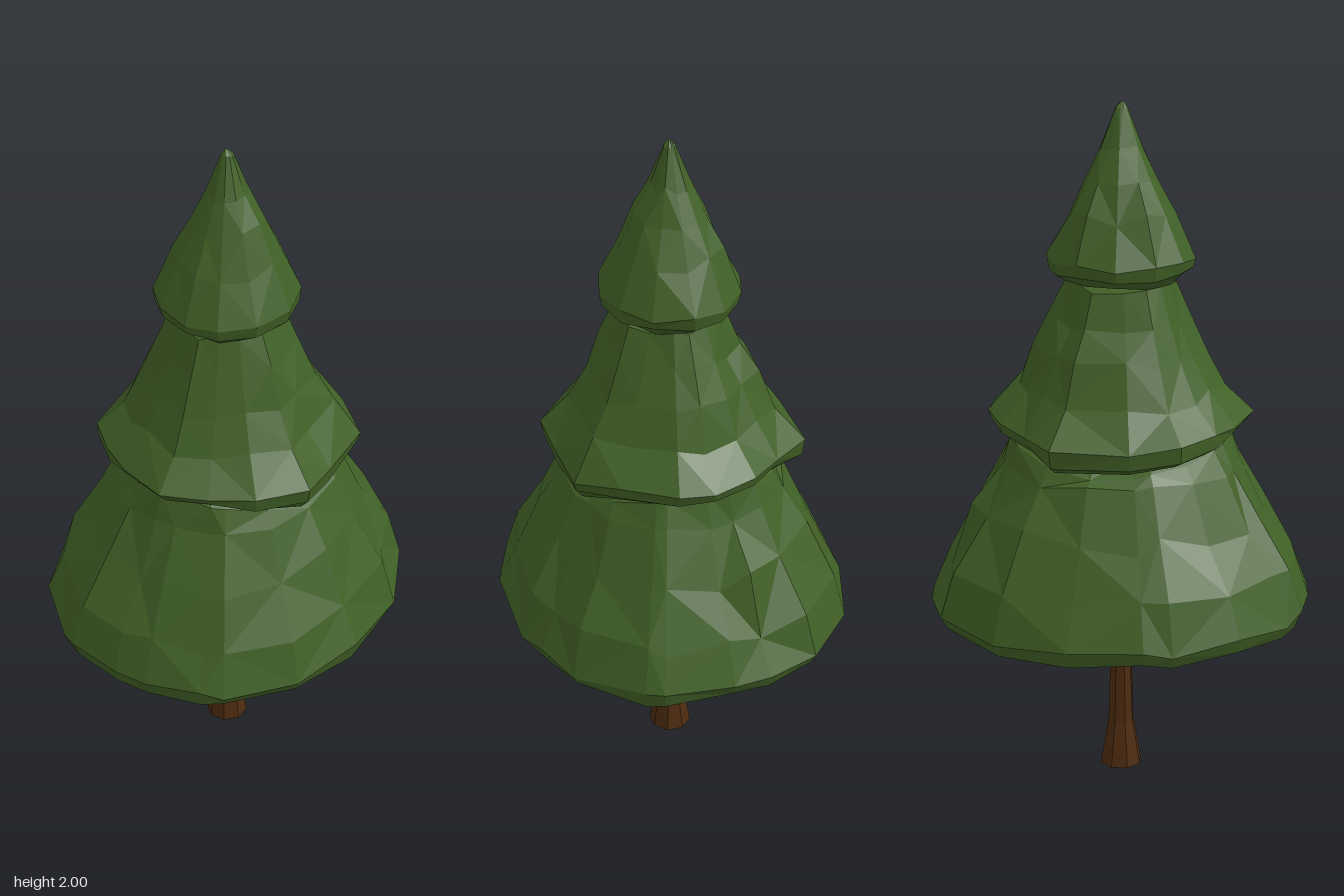
import * as THREE from 'three';

const green = new THREE.MeshStandardMaterial({ color: 0x406026 });
green.name = 'needle green';
const brown = new THREE.MeshStandardMaterial({ color: 0x4e2c10 });
brown.name = 'bark brown';

// Small seeded generator giving values from -1 to 1
function makeNoise(seed) {
  let s = seed;
  return () => {
    s = (s * 16807) % 2147483647;
    return (s / 2147483647) * 2 - 1;
  };
}

// Faceted skin over scaled copies of an outline of [x, z] points, closed at both ends.
// ring: [scale, y, radial jitter, height jitter, height wave]
function loft(name, material, outline, rings, start, end, seed) {
  const noise = makeNoise(seed);
  const n = outline.length;
  const points = [];
  for (const [scale, y, jr = 0, jy = 0, wave = 0] of rings) {
    for (const [x, z] of outline) {
      const k = scale * (1 + jr * noise());
      const lift = wave * (z * z - x * x) / (x * x + z * z);
      points.push(x * k, y + lift + jy * noise(), z * k);
    }
  }
  const startId = points.length / 3;
  points.push(...start, ...end);
  const faces = [];
  const last = (rings.length - 1) * n;
  for (let i = 0; i < n; i++) {
    const j = (i + 1) % n;
    faces.push(startId, i, j, last + i, startId + 1, last + j);
    for (let r = 0; r < rings.length - 1; r++) {
      const a = r * n + i, b = r * n + j, c = b + n, d = a + n;
      // alternate the diagonals for an irregular hand-cut look
      if ((i + r) % 2) faces.push(a, d, c, a, c, b);
      else faces.push(a, d, b, d, c, b);
    }
  }
  let geometry = new THREE.BufferGeometry();
  geometry.setAttribute('position', new THREE.Float32BufferAttribute(points, 3));
  geometry.setIndex(faces);
  geometry = geometry.toNonIndexed();
  geometry.computeVertexNormals();
  const mesh = new THREE.Mesh(geometry, material);
  mesh.name = name;
  return mesh;
}

// Faceted tapered stick between two points
function stick(name, from, to, r0, r1) {
  const a = new THREE.Vector3(...from), b = new THREE.Vector3(...to);
  const dir = b.clone().sub(a);
  const geometry = new THREE.CylinderGeometry(r1, r0, dir.length(), 5).toNonIndexed();
  geometry.computeVertexNormals();
  const mesh = new THREE.Mesh(geometry, brown);
  mesh.position.copy(a).add(b).multiplyScalar(0.5);
  mesh.quaternion.setFromUnitVectors(new THREE.Vector3(0, 1, 0), dir.normalize());
  mesh.name = name;
  return mesh;
}

const lowerOutline = [
  [-0.03, -0.55], [0.17, -0.54], [0.22, -0.52], [0.39, -0.37], [0.45, -0.24], [0.49, -0.15],
  [0.5, 0.1], [0.43, 0.31], [0.29, 0.48], [0.23, 0.51], [0.07, 0.545], [-0.03, 0.55],
  [-0.19, 0.53], [-0.25, 0.49], [-0.4, 0.36], [-0.48, 0.18], [-0.5, 0.1], [-0.5, -0.11],
  [-0.44, -0.32], [-0.29, -0.49], [-0.14, -0.54],
];
const middleOutline = [
  [-0.02, -0.38], [0.08, -0.37], [0.22, -0.28], [0.33, -0.19], [0.34, 0], [0.35, 0.13],
  [0.25, 0.25], [0.14, 0.32], [0.02, 0.38], [-0.13, 0.33], [-0.22, 0.28], [-0.32, 0.19],
  [-0.35, 0.05], [-0.35, -0.17], [-0.24, -0.25], [-0.15, -0.33],
];
const upperOutline = [
  [-0.01, -0.21], [0.1, -0.18], [0.17, -0.11], [0.2, 0], [0.17, 0.12], [0.09, 0.19],
  [0, 0.21], [-0.1, 0.18], [-0.17, 0.11], [-0.2, 0], [-0.17, -0.11], [-0.1, -0.18],
];
const trunkOutline = Array.from({ length: 8 }, (_, i) => {
  const a = (i + 0.5) * Math.PI / 4;
  return [Math.cos(a), Math.sin(a)];
});

export function createModel() {
  const tree = new THREE.Group();
  tree.name = 'pine tree';

  // Trunk with flared foot
  const trunk = new THREE.Group();
  trunk.name = 'trunk';
  trunk.add(
    loft('trunkStem', brown, trunkOutline,
      [[0.063, 0], [0.055, 0.05], [0.039, 0.14], [0.034, 0.3, 0.04], [0.03, 0.62]],
      [0, 0, 0], [0, 0.62, 0], 5),
    stick('frontBranch', [0, 0.43, 0.012], [0, 0.54, 0.08], 0.022, 0.016),
    stick('backTwig', [0.012, 0.37, -0.02], [0.026, 0.405, -0.05], 0.016, 0.009),
  );
  tree.add(trunk);

  // Foliage tiers: hollow underside, ragged hem, sloping skirt, tucked shoulder
  const foliage = new THREE.Group();
  foliage.name = 'foliage';
  foliage.add(
    loft('lowerTier', green, lowerOutline, [
      [0.4, 0.575, 0.1, 0.02],
      [0.66, 0.555, 0.06, 0.02],
      [0.85, 0.515, 0.03, 0.014],
      [0.97, 0.53, 0.01, 0.012],
      [1, 0.57, 0, 0.015],
      [0.91, 0.69, 0.02, 0.02],
      [0.76, 0.84, 0.035, 0.03],
      [0.62, 0.98, 0.025, 0.012],
      [0.565, 1.035, 0.02, 0.01, 0.03],
      [0.44, 1.07, 0.03, 0.008, 0.015],
    ], [0, 0.58, 0], [0, 1.08, 0], 11),
    loft('middleTier', green, middleOutline, [
      [0.66, 1.065, 0.03, 0.008, 0.02],
      [0.9, 1.05, 0.025, 0.01, 0.028],
      [0.98, 1.07, 0.01, 0.01, 0.022],
      [1, 1.105, 0, 0.01, 0.01],
      [0.78, 1.195, 0.03, 0.015],
      [0.645, 1.3, 0.025, 0.02],
      [0.52, 1.4, 0.025, 0.02],
      [0.415, 1.5, 0.02, 0.01],
    ], [0, 1.07, 0], [0, 1.55, 0], 23),
    loft('upperTier', green, upperOutline, [
      [0.6, 1.515, 0.03, 0.006],
      [0.8, 1.505, 0.03, 0.008],
      [0.97, 1.535, 0.015, 0.008],
      [1, 1.565, 0, 0.01],
      [0.72, 1.69, 0.05, 0.02],
      [0.49, 1.79, 0.06, 0.015],
      [0.29, 1.875, 0.08, 0.012],
      [0.08, 1.98, 0.1, 0.004],
    ], [0, 1.52, 0], [0, 2, 0.005], 37),
  );
  tree.add(foliage);
  return tree;
}
